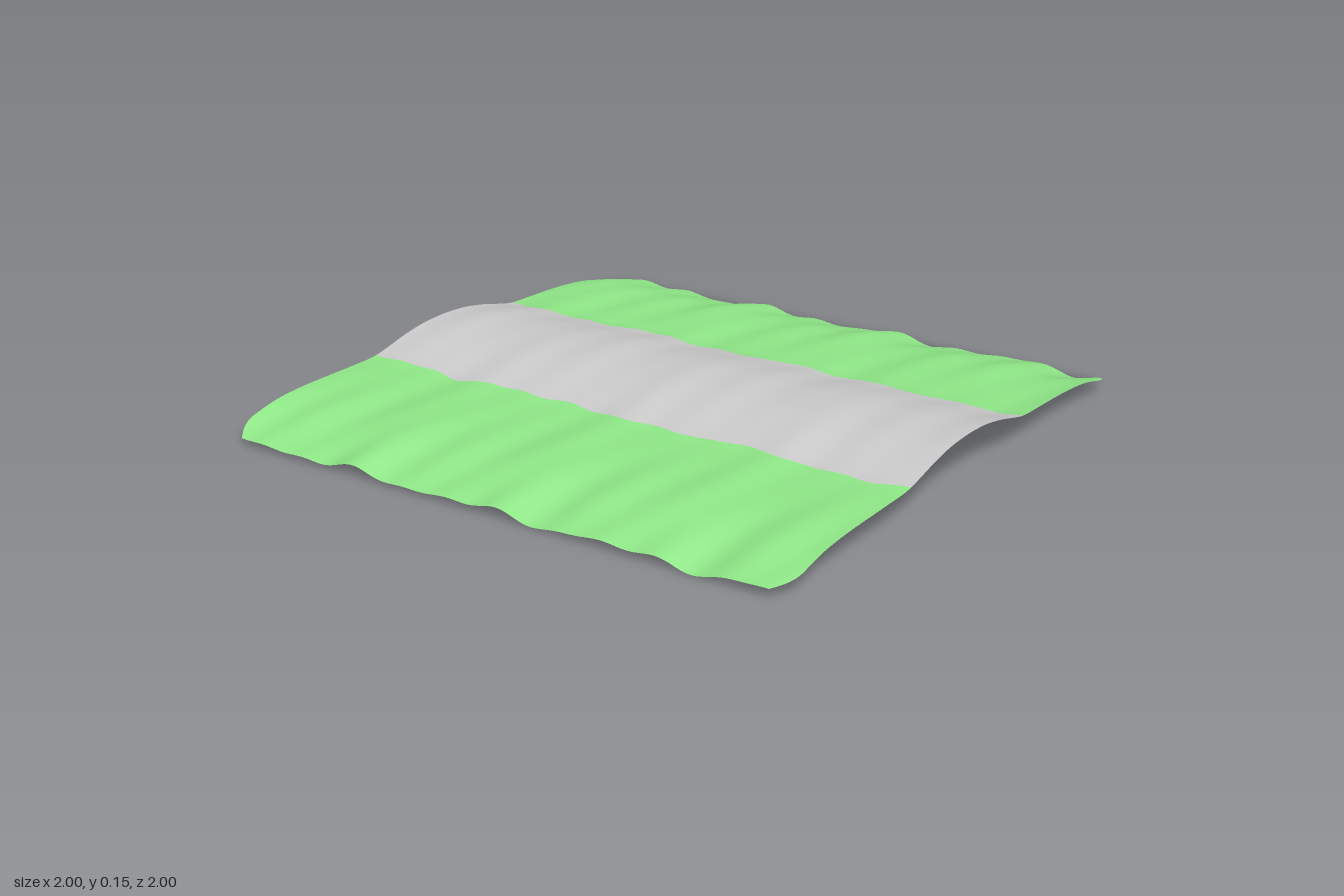
import * as THREE from 'three';

// Height across the strip, from the middle (|z| = 0) to the outer edge (|z| = 1)
const profile = new THREE.SplineCurve([
  [0, 0.147], [0.1, 0.142], [0.2, 0.126], [0.28, 0.107], [0.36, 0.091], [0.48, 0.087],
  [0.6, 0.084], [0.7, 0.079], [0.8, 0.068], [0.9, 0.045], [1, 0.018],
].map(([z, y]) => new THREE.Vector2(z, y))).getPoints(200);

function profileHeight(d) {
  let i = 1;
  while (i < profile.length - 1 && profile[i].x < d) i++;
  const a = profile[i - 1], b = profile[i];
  return THREE.MathUtils.mapLinear(d, a.x, b.x, a.y, b.y);
}

// Gentle ripples running along z, strongest at the front and back edges
function ripple(x, z) {
  const w = 0.5 * Math.sin(13 * x + 1.2 * z + 0.6) + 0.35 * Math.sin(23 * x - 1.6 * z + 2)
    + 0.25 * Math.sin(34 * x + 2.1 * z + 4 * Math.sign(z) * z * z);
  return w * (0.005 + 0.011 * Math.pow(Math.abs(z), 3));
}

const height = (x, z) => Math.max(0, profileHeight(Math.abs(z)) + ripple(x, z));

// Wavy line where the path meets the grass
const border = (x, side) => side * (0.35
  + 0.008 * Math.sin(9 * x + side) + 0.007 * Math.sin(21 * x + 2 * side) + 0.004 * Math.sin(37 * x));

// Half width in x, clipped at the four rounded corners
function halfWidth(z) {
  const t = Math.max(0, (Math.abs(z) - 0.9) / 0.1);
  return 1 - 0.045 * t * t;
}

// A band of the sheet between two lines z = from(x) and z = to(x)
function band(name, from, to, rows, color) {
  const cols = 120;
  const geometry = new THREE.PlaneGeometry(2, 1, cols, rows);
  const p = geometry.attributes.position;
  for (let i = 0; i < p.count; i++) {
    const u = p.getX(i), t = 0.5 - p.getY(i);
    const z = THREE.MathUtils.lerp(from(u), to(u), t);
    const x = u * halfWidth(z);
    p.setXYZ(i, x, height(x, z), z);
  }
  geometry.computeVertexNormals();
  const mesh = new THREE.Mesh(geometry,
    new THREE.MeshStandardMaterial({ color, side: THREE.DoubleSide }));
  mesh.name = name;
  return mesh;
}

export function createModel() {
  const group = new THREE.Group();
  group.name = 'terrainTile';
  const backEdge = (x) => border(x, -1), frontEdge = (x) => border(x, 1);
  group.add(
    band('backGrass', () => -1, backEdge, 40, 0x90e888),
    band('path', backEdge, frontEdge, 44, 0xcccccc),
    band('frontGrass', frontEdge, () => 1, 40, 0x90e888),
  );
  return group;
}
